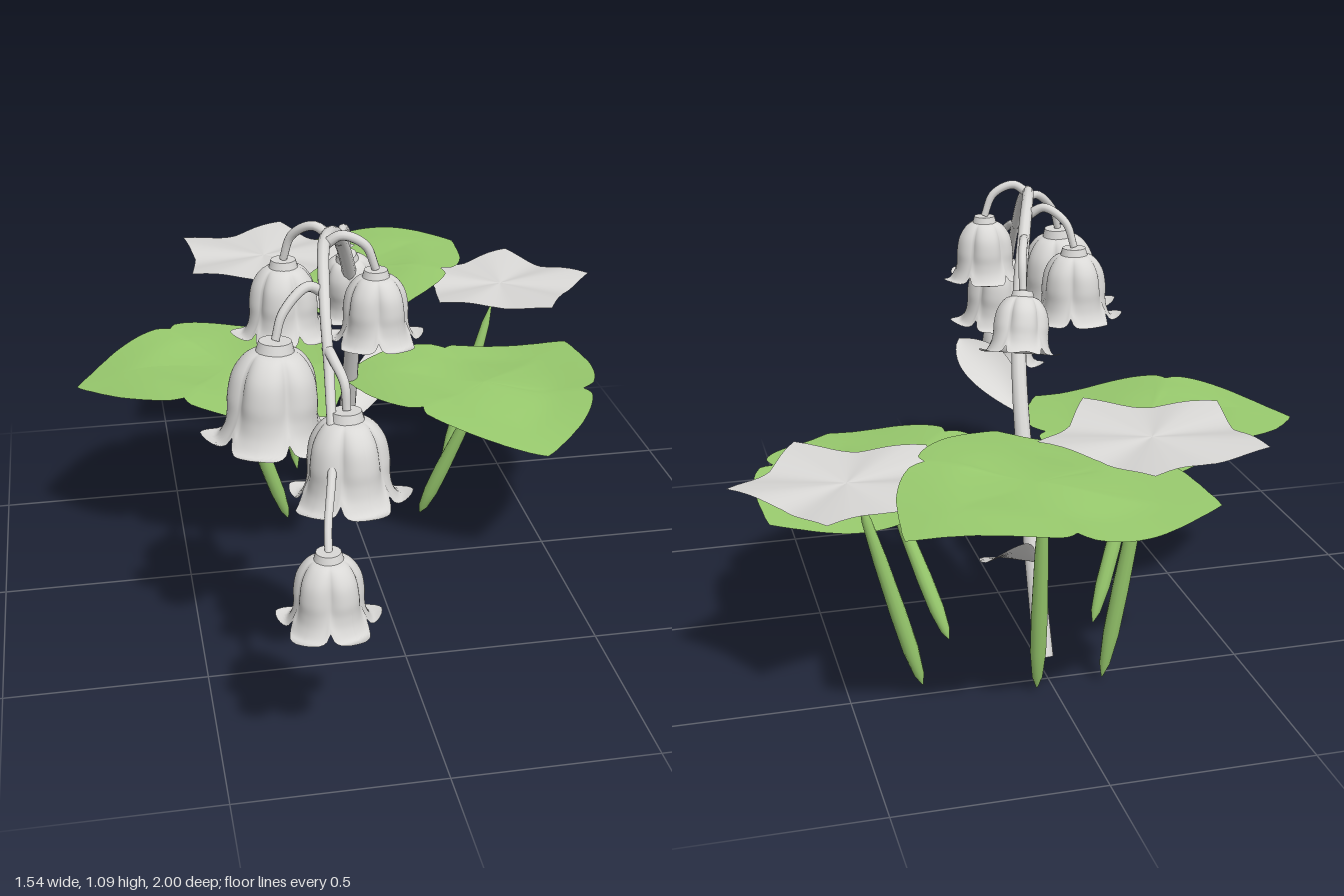
import * as THREE from 'three';

const mat = (name, color) => {
  const m = new THREE.MeshStandardMaterial({ color, side: THREE.DoubleSide });
  m.name = name;
  return m;
};
const V = (a) => new THREE.Vector3(...a);

// Smooth surface from a grid of points: fn(u, v) with u, v in 0..1
function surface(nu, nv, fn) {
  const geo = new THREE.PlaneGeometry(1, 1, nu, nv);
  const pos = geo.attributes.position;
  for (let j = 0; j <= nv; j++) {
    for (let i = 0; i <= nu; i++) pos.setXYZ(j * (nu + 1) + i, ...fn(i / nu, j / nv));
  }
  geo.computeVertexNormals();
  return geo;
}

// Tube whose radius shrinks from r0 to r1
function taperedTube(points, r0, r1, n = 32) {
  const curve = new THREE.CatmullRomCurve3(points.map(V));
  const sides = 10;
  const geo = new THREE.TubeGeometry(curve, n, 1, sides);
  const pos = geo.attributes.position;
  const p = new THREE.Vector3();
  for (let i = 0; i <= n; i++) {
    const c = curve.getPointAt(i / n);
    for (let j = 0; j <= sides; j++) {
      const k = i * (sides + 1) + j;
      p.fromBufferAttribute(pos, k).sub(c).multiplyScalar(r0 + (r1 - r0) * i / n).add(c);
      pos.setXYZ(k, p.x, p.y, p.z);
    }
  }
  return geo;
}

// Linear lookup in a list of [key, value]
function lookup(table, x) {
  for (let i = 1; i < table.length; i++) {
    const [a, ya] = table[i - 1], [b, yb] = table[i];
    if (x <= b) return ya + (yb - ya) * (x - a) / (b - a);
  }
  return table[table.length - 1][1];
}

// Bell profile for a flare radius of 1, hanging down from the cap, lip curled up
const bellCurve = new THREE.SplineCurve([
  [0.1, -0.12], [0.38, -0.19], [0.58, -0.45], [0.65, -0.78], [0.65, -1.04],
  [0.69, -1.27], [0.81, -1.45], [1.02, -1.39],
].map(([x, y]) => new THREE.Vector2(x, y)));

const bellGeometry = surface(80, 28, (u, v) => {
  const a = u * Math.PI * 2;
  const lobe = 1 - 2 * Math.abs(((u * 5 + 0.5) % 1) - 0.5);
  const p = bellCurve.getPoint(v * (0.73 + 0.27 * Math.pow(lobe, 0.6)));
  const groove = Math.pow(1 - Math.abs(Math.cos(2.5 * a)), 1.5);
  const r = p.x * (1 - 0.17 * groove * Math.sin(Math.PI * Math.min(1, v * 1.1)));
  return [r * Math.sin(a), p.y, r * Math.cos(a)];
});

// Three-cornered leaf, radius by degrees away from the nearest corner
const leafRadius = [[0, 0.41], [10, 0.372], [20, 0.348], [34, 0.328], [48, 0.313], [55, 0.304], [60, 0.278]];

export function createModel() {
  const model = new THREE.Group();
  const white = mat('petal grey', 0xd9d8d6);
  const green = mat('leaf green', 0x99cb6e);

  const add = (parent, name, geo, material) => {
    const mesh = new THREE.Mesh(geo, material);
    mesh.name = name;
    parent.add(mesh);
    return mesh;
  };

  // Arching main stem with a closed foot
  add(model, 'mainStem', taperedTube([
    [-0.012, 0.015, -0.417], [-0.012, 0.34, -0.28], [-0.02, 0.67, -0.14], [-0.055, 0.87, -0.01],
    [-0.11, 1.01, 0.14], [-0.17, 1.055, 0.33], [-0.2, 0.98, 0.52], [-0.21, 0.85, 0.64],
    [-0.225, 0.69, 0.76], [-0.25, 0.59, 0.85], [-0.255, 0.54, 0.885],
  ], 0.026, 0.009, 80), white);
  const foot = add(model, 'stemFoot', new THREE.CircleGeometry(0.026, 10), white);
  foot.position.set(-0.012, 0.015, -0.417);
  foot.rotation.x = Math.PI / 2 + 0.4;

  // Bells: cap position, flare radius, tilt, turn, then stalk start and peak
  const bells = [
    { at: [-0.05, 0.885, -0.06], r: 0.112, tilt: [0.28, 0.14], turn: 0.5, stalk: [[-0.1, 0.98, 0.11], [-0.075, 0.985, 0.03], [-0.055, 0.95, -0.035]] },
    { at: [-0.24, 0.945, 0.115], r: 0.135, tilt: [0, 0], turn: 0.9, stalk: [[-0.13, 1.02, 0.19], [-0.17, 1.045, 0.17], [-0.22, 1.01, 0.13]] },
    { at: [-0.05, 0.99, 0.35], r: 0.122, tilt: [0, 0], turn: 0.52, stalk: [[-0.17, 1.05, 0.33], [-0.13, 1.075, 0.34], [-0.075, 1.05, 0.348]] },
    { at: [-0.315, 0.9, 0.525], r: 0.165, tilt: [-0.04, -0.05], turn: 0.82, stalk: [[-0.195, 0.99, 0.48], [-0.235, 1.01, 0.49], [-0.295, 0.96, 0.515]] },
    { at: [-0.18, 0.79, 0.69], r: 0.147, tilt: [-0.06, 0], turn: 0.3, stalk: [[-0.207, 0.9, 0.59], [-0.2, 0.89, 0.635], [-0.183, 0.85, 0.68]] },
    { at: [-0.255, 0.55, 0.885], r: 0.122, tilt: [0, 0], turn: 0.5 },
  ];
  const capGeo = new THREE.CylinderGeometry(0.23, 0.27, 0.14, 20);
  const stamenGeo = new THREE.CylinderGeometry(0.035, 0.035, 0.95, 8);
  const tipGeo = new THREE.SphereGeometry(0.065, 10, 8);
  for (const b of bells) {
    const bell = new THREE.Group();
    bell.name = 'bellFlower';
    bell.position.set(...b.at);
    bell.rotation.set(b.tilt[0], b.turn, b.tilt[1], 'ZXY');
    bell.scale.setScalar(b.r);
    add(bell, 'bellPetals', bellGeometry, white);
    add(bell, 'bellCap', capGeo, white).position.y = -0.08;
    for (let i = 0; i < 5; i++) {
      const a = i * Math.PI * 0.4;
      const x = 0.16 * Math.sin(a), z = 0.16 * Math.cos(a);
      add(bell, 'stamen', stamenGeo, white).position.set(x, -0.72, z);
      add(bell, 'stamenTip', tipGeo, white).position.set(x, -1.2, z);
    }
    model.add(bell);
    if (b.stalk) add(model, 'bellStalk', taperedTube([...b.stalk, b.at], 0.013, 0.01, 20), white);
  }

  // Cupped pointed bracts on the main stem, rolled about their length
  function bract(from, to, half, roll) {
    const a = V(from), d = V(to).sub(a);
    const axis = d.clone().normalize();
    const side = d.clone().cross(new THREE.Vector3(0, 1, 0)).normalize().applyAxisAngle(axis, roll);
    const up = side.clone().cross(axis);
    add(model, 'bract', surface(8, 16, (u, v) => {
      const s = u * 2 - 1;
      const w = half * Math.pow(Math.sin(Math.PI * Math.pow(v, 1.1)), 0.75);
      const p = a.clone().addScaledVector(d, v).addScaledVector(side, s * w)
        .addScaledVector(up, 0.025 * Math.sin(Math.PI * v) + 0.25 * w * (s * s - 0.6));
      return [p.x, p.y, p.z];
    }), white);
  }
  bract([-0.005, 0.25, -0.345], [0.19, 0.395, -0.62], 0.055, 0.45);
  bract([-0.025, 0.58, -0.15], [0.075, 0.705, 0.14], 0.06, -0.4);

  // Broad waved leaves: centre, corner direction, wave crest
  const leaves = [
    { c: [-0.36, 0.545, -0.17], turn: 180, crest: -0.53, name: 'leftLeaf' },
    { c: [0.35, 0.455, -0.13], turn: 80, crest: 0.1, name: 'rightLeaf' },
    { c: [0.08, 0.62, -0.7], turn: 90, crest: 0.28, name: 'backLeaf' },
  ];
  for (const { c, turn, crest, name } of leaves) {
    add(model, name, surface(120, 12, (u, v) => {
      const deg = u * 360;
      const off = Math.abs(((deg + 60) % 120) - 60);
      const a = (deg + turn) * Math.PI / 180;
      const r = v * lookup(leafRadius, off);
      const x = c[0] + r * Math.cos(a), z = c[2] + r * Math.sin(a);
      const wave = 0.022 * Math.cos(9.3 * (x - crest)) * Math.min(1, v * 1.6);
      return [x, c[1] + wave - 0.02 * v * v * (1 - off / 60), z];
    }), green);
  }

  // Flat five-pointed open blossoms
  for (const [x, y, z, r] of [[-0.2, 0.69, -0.65, 0.277], [0.497, 0.598, -0.53, 0.275]]) {
    add(model, 'starBlossom', surface(60, 8, (u, v) => {
      const a = u * Math.PI * 2;
      const t = Math.abs(((u * 5 + 0.5) % 1) - 0.5) * Math.PI * 0.4;
      // straight edge from the tip to the inner corner
      const inner = 0.73, h = Math.PI / 5;
      const k = inner * Math.sin(h) / (inner * Math.sin(h - t) + Math.sin(t));
      const rr = v * r * k;
      return [x + rr * Math.cos(a), y + 0.009 * v * Math.cos(5 * a + 0.6) - 0.006 * (1 - v), z + rr * Math.sin(a)];
    }), white);
  }

  // Spindle-shaped stalks under the leaves and blossoms
  const stalkGeo = new THREE.LatheGeometry([
    [0.002, 0], [0.013, 0.06], [0.02, 0.2], [0.0205, 0.4], [0.017, 0.7], [0.012, 0.9], [0.003, 1],
  ].map(([x, y]) => new THREE.Vector2(x, y)), 12);
  const stalks = [
    [[-0.195, 0.01, -0.255], [-0.347, 0.49, -0.17]],
    [[-0.125, 0.015, -0.55], [-0.2, 0.65, -0.635]],
    [[0.045, 0.01, -0.555], [0.064, 0.57, -0.665]],
    [[0.195, 0, -0.235], [0.328, 0.4, -0.125]],
    [[0.315, 0.01, -0.47], [0.463, 0.53, -0.502]],
  ];
  for (const [from, to] of stalks) {
    const d = V(to).sub(V(from));
    const stalk = add(model, 'leafStalk', stalkGeo, green);
    stalk.position.set(...from);
    stalk.scale.y = d.length();
    stalk.quaternion.setFromUnitVectors(new THREE.Vector3(0, 1, 0), d.normalize());
  }
  return model;
}
